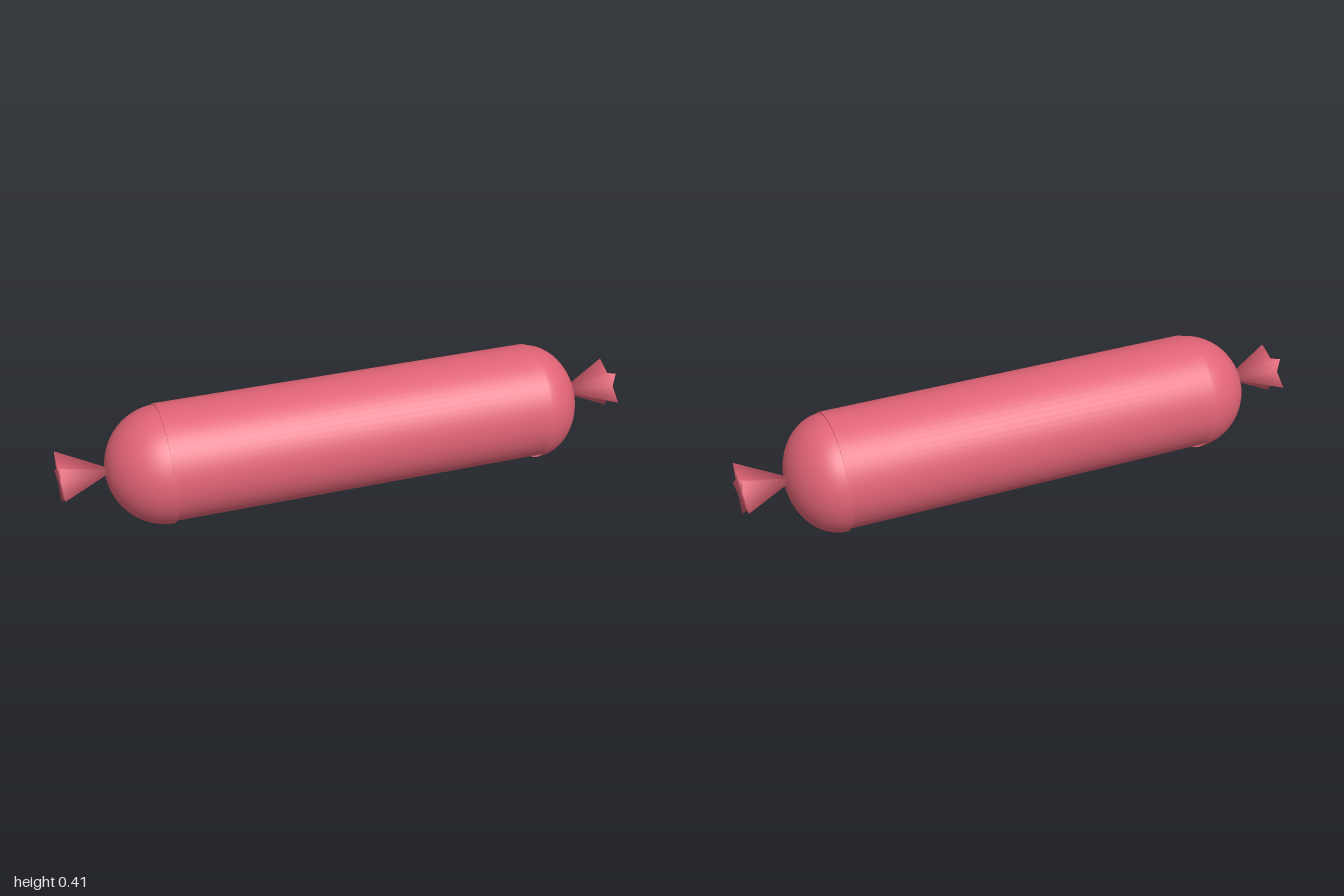
import * as THREE from 'three';

const skin = new THREE.MeshStandardMaterial({ color: 0xe06375, side: THREE.DoubleSide });

function addMesh(parent, geometry, name) {
  const mesh = new THREE.Mesh(geometry, skin);
  mesh.name = name;
  parent.add(mesh);
  return mesh;
}

// Half ellipsoid bulging towards +x, flat side at x = 0
function domeGeometry(depth, radius) {
  const g = new THREE.SphereGeometry(1, 64, 24, 0, Math.PI * 2, 0, Math.PI / 2);
  g.rotateZ(-Math.PI / 2);
  g.scale(depth, radius, radius);
  return g;
}

// Star-shaped funnel: a point at tipX widening to a five-pointed star at endX
function twistGeometry(tipX, endX, halfHeight, halfWidth, innerRatio) {
  const count = 10;
  const positions = [tipX, 0, 0, endX, 0, 0];
  const index = [];
  for (let i = 0; i < count; i++) {
    const a = -Math.PI / 2 + (i / count) * Math.PI * 2;
    const r = i % 2 ? innerRatio : 1;
    positions.push(endX, Math.sin(a) * r * halfHeight, -Math.cos(a) * r * halfWidth);
    const p = 2 + i, q = 2 + (i + 1) % count;
    index.push(0, q, p, 1, p, q);
  }
  const g = new THREE.BufferGeometry();
  g.setAttribute('position', new THREE.Float32BufferAttribute(positions, 3));
  g.setIndex(index);
  g.computeVertexNormals();
  return g;
}

export function createModel() {
  const model = new THREE.Group();
  model.name = 'sausage';

  // Long straight body lying along x
  const left = 0.69, right = -0.655;
  const body = new THREE.CylinderGeometry(0.201, 0.201, left - right, 64);
  body.rotateZ(Math.PI / 2);
  addMesh(model, body, 'body').position.set((left + right) / 2, 0.211, 0);

  // Rounded ends, sitting slightly lower than the body
  addMesh(model, domeGeometry(0.165, 0.203), 'leftEnd').position.set(0.68, 0.205, 0);
  const rightEnd = addMesh(model, domeGeometry(0.2, 0.203), 'rightEnd');
  rightEnd.position.set(-0.645, 0.205, 0);
  rightEnd.rotation.y = Math.PI;

  // Twisted casing tips, the second turned half round
  for (const side of [1, -1]) {
    const twist = addMesh(model, twistGeometry(0.815, 1, 0.0885, 0.106, 0.49),
      side > 0 ? 'leftTwist' : 'rightTwist');
    twist.position.set(0, 0.2185, -0.007 * side);
    twist.rotation.y = side > 0 ? 0 : Math.PI;
  }
  return model;
}
